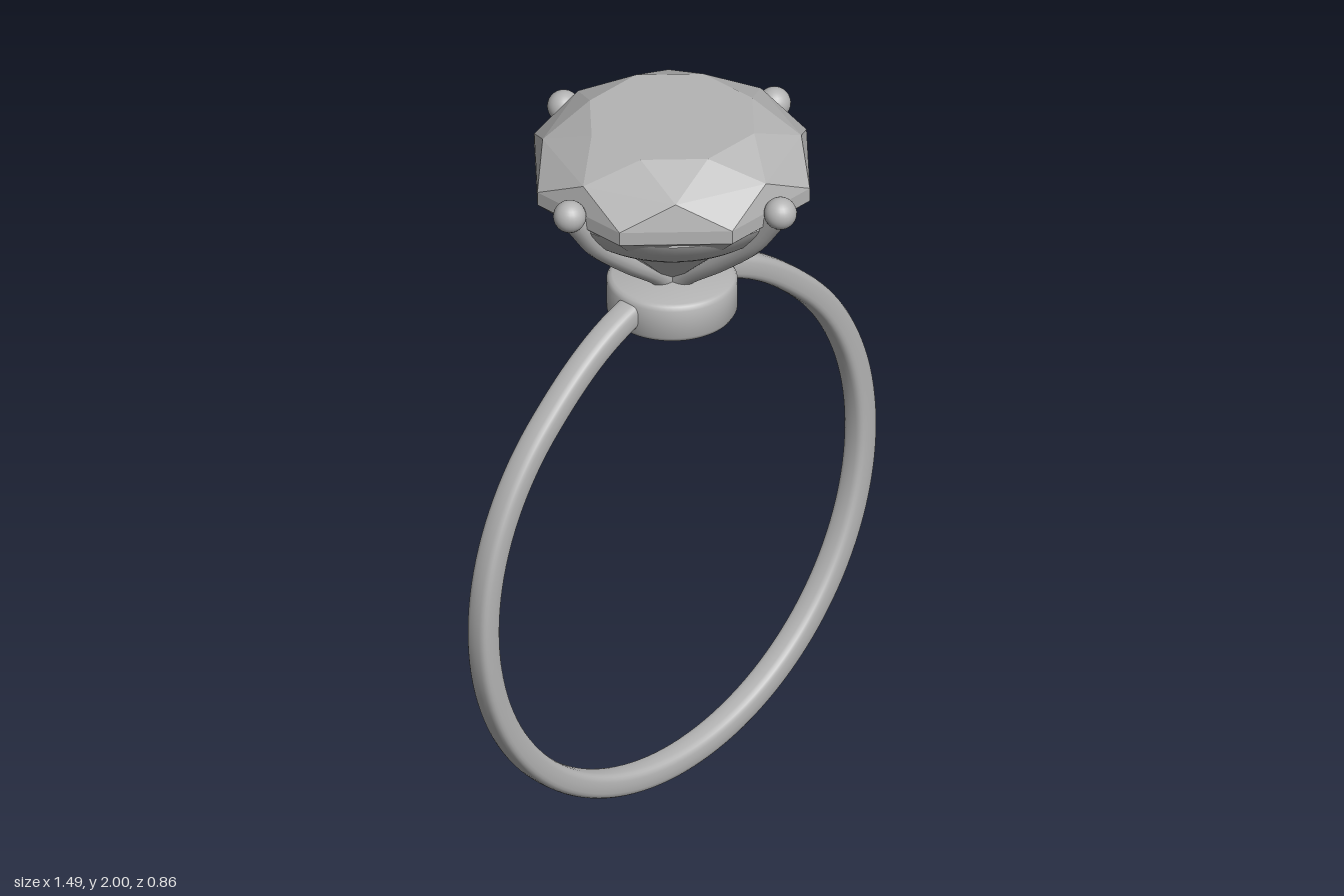
import * as THREE from 'three';
import { toCreasedNormals } from 'three/addons/utils/BufferGeometryUtils.js';
import { ConvexGeometry } from 'three/addons/geometries/ConvexGeometry.js';
import { ParametricGeometry } from 'three/addons/geometries/ParametricGeometry.js';

const metal = new THREE.MeshStandardMaterial({ color: 0xb4b4b4 });
metal.name = 'silver grey';

function part(name, geometry, parent) {
  const mesh = new THREE.Mesh(geometry, metal);
  mesh.name = name;
  parent.add(mesh);
  return mesh;
}

function lathe(points, segments = 64) {
  const profile = points.map(([r, y]) => new THREE.Vector2(r, y));
  return toCreasedNormals(new THREE.LatheGeometry(profile, segments), 0.7);
}

// Eight points on a level, starting at a given angle
function octagon(radius, y, start) {
  return Array.from({ length: 8 }, (_, i) => {
    const a = start + (i * Math.PI) / 4;
    return new THREE.Vector3(radius * Math.cos(a), y, radius * Math.sin(a));
  });
}

// Band with a soft rectangular section, rising slightly to meet the head
function bandGeometry() {
  const soft = (v) => Math.sign(v) * Math.pow(Math.abs(v), 0.6);
  const start = 0.17;
  return new ParametricGeometry((u, v, target) => {
    const t = start + u * (2 * Math.PI - 2 * start);
    const p = v * 2 * Math.PI;
    const fromTop = Math.min(t, 2 * Math.PI - t);
    const rise = 0.035 * (1 - THREE.MathUtils.smoothstep(fromTop, 0.1, 0.75));
    const r = 0.711 + rise + 0.035 * soft(Math.cos(p));
    target.set(r * Math.sin(t), 0.751 + r * Math.cos(t), -0.036 * soft(Math.sin(p)));
  }, 128, 24);
}

export function createModel() {
  const ring = new THREE.Group();
  ring.name = 'gemRing';

  part('band', bandGeometry(), ring);

  // Round head with softened rims
  part('head', lathe([
    [0, 1.415], [0.155, 1.415], [0.164, 1.419], [0.17, 1.43],
    [0.17, 1.51], [0.164, 1.521], [0.155, 1.525], [0, 1.525],
  ]), ring);

  // Faceted stone: table, crown points, girdle and pointed pavilion
  const half = Math.PI / 8;
  part('stone', new ConvexGeometry([
    ...octagon(0.228, 2, half),
    ...octagon(0.335, 1.938, 0),
    ...octagon(0.382, 1.866, half),
    ...octagon(0.382, 1.828, half),
    new THREE.Vector3(0, 1.5, 0),
  ]), ring);

  // Tapered collar under the girdle
  part('collar', lathe([
    [0.235, 1.735], [0.25, 1.72], [0.268, 1.722], [0.285, 1.735], [0.315, 1.77],
    [0.335, 1.797], [0.342, 1.812], [0.335, 1.822], [0.31, 1.822], [0.235, 1.735],
  ]), ring);

  // Four curved prongs, each ending in a ball
  const path = new THREE.CatmullRomCurve3([
    [0.01, 1.5], [0.05, 1.545], [0.17, 1.637], [0.285, 1.737], [0.345, 1.815], [0.383, 1.868],
  ].map(([x, y]) => new THREE.Vector3(x, y, 0)));
  const prongGeometry = new THREE.TubeGeometry(path, 28, 0.031, 14);
  const ballGeometry = new THREE.SphereGeometry(0.043, 24, 16);
  for (let i = 0; i < 4; i++) {
    const prong = new THREE.Group();
    prong.name = 'prong' + (i + 1);
    part('prongArm', prongGeometry, prong);
    part('prongBall', ballGeometry, prong).position.set(0.386, 1.87, 0);
    prong.rotation.y = (i * Math.PI) / 2;
    ring.add(prong);
  }
  return ring;
}
